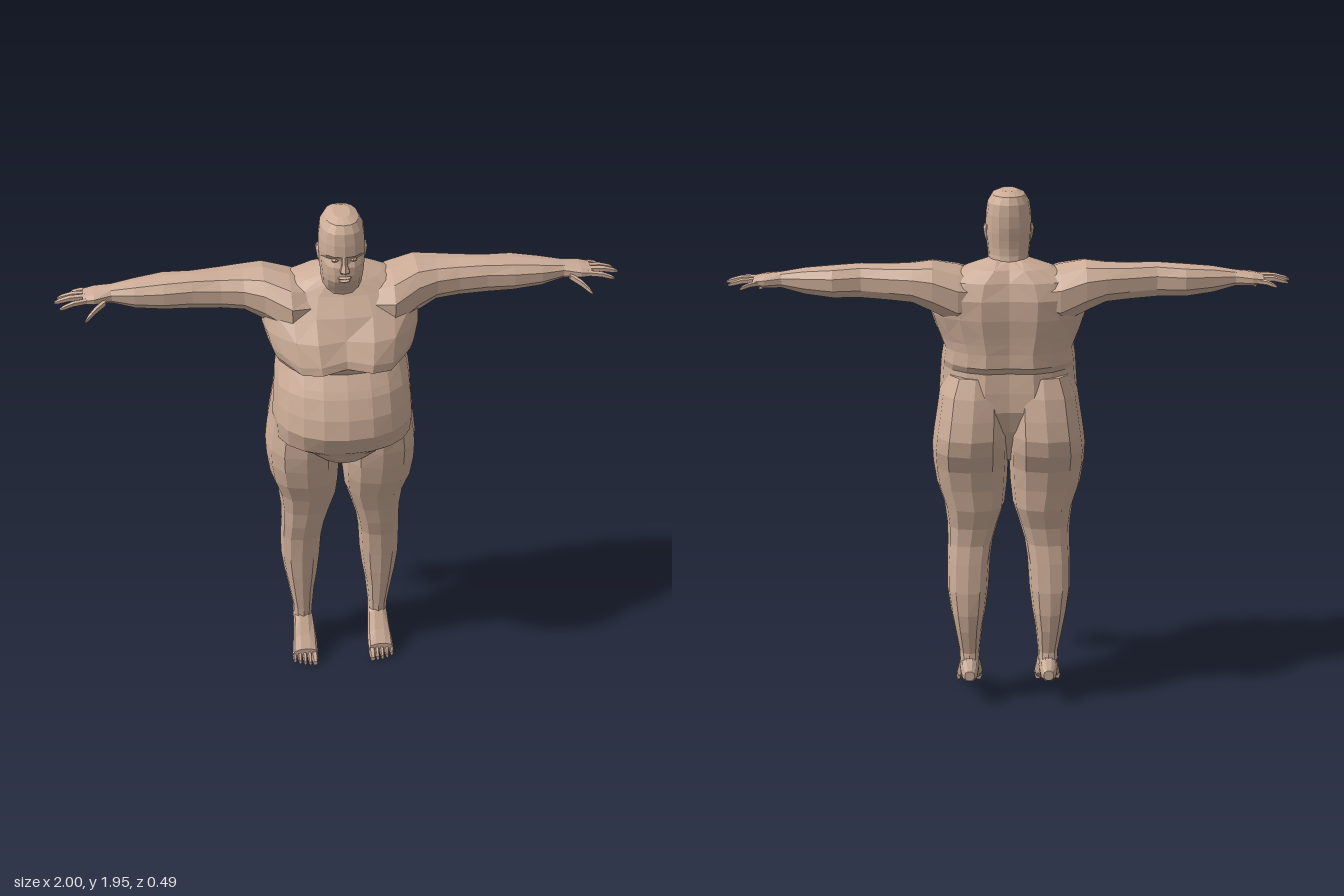
import * as THREE from 'three';

const skin = new THREE.MeshStandardMaterial({ color: 0xcdad98 });
skin.name = 'skin';

// Signed power, squares off an ellipse when e < 1
const pw = (v, e) => Math.sign(v) * Math.pow(Math.abs(v), e);

// Maps (along, u, v) to a point; each is right-handed so faces look outward
const AXES = {
  x: (t, u, v) => new THREE.Vector3(t, u, v),
  y: (t, u, v) => new THREE.Vector3(v, t, u),
  z: (t, u, v) => new THREE.Vector3(u, v, t),
};

// Skin over cross-sections [along, uMin, uMax, vMin, vMax], faceted, capped at both ends
function loft(name, axis, rings, { n = 10, e = 0.85, side = 1, tweak } = {}) {
  const pts = rings.map(([t, u0, u1, v0, v1]) => Array.from({ length: n }, (_, j) => {
    const a = (j / n) * Math.PI * 2;
    const p = AXES[axis](t, (u0 + u1) / 2 + pw(Math.cos(a), e) * (u1 - u0) / 2,
      (v0 + v1) / 2 + pw(Math.sin(a), e) * (v1 - v0) / 2);
    if (tweak) tweak(p, a);
    p.x *= side;
    return p;
  }));
  const pos = [];
  const tri = (a, b, c) => (side > 0 ? [a, b, c] : [a, c, b]).forEach((p) => pos.push(p.x, p.y, p.z));
  const mid = (r) => r.reduce((s, p) => s.add(p), new THREE.Vector3()).divideScalar(n);
  const last = pts.length - 1;
  const m0 = mid(pts[0]), m1 = mid(pts[last]);
  for (let j = 0; j < n; j++) {
    const k = (j + 1) % n;
    for (let i = 0; i < last; i++) {
      const a = pts[i][j], b = pts[i][k], c = pts[i + 1][k], d = pts[i + 1][j];
      if ((i + j) % 2) { tri(a, b, c); tri(a, c, d); } else { tri(a, b, d); tri(b, c, d); }
    }
    tri(m0, pts[0][k], pts[0][j]);
    tri(m1, pts[last][j], pts[last][k]);
  }
  const g = new THREE.BufferGeometry();
  g.setAttribute('position', new THREE.Float32BufferAttribute(pos, 3));
  g.computeVertexNormals();
  const mesh = new THREE.Mesh(g, skin);
  mesh.name = name;
  return mesh;
}

// Torso: y, back z, front z, -half width, half width
function torso() {
  const rings = [
    [0.96, -0.08, 0.06, 0.03], [1.0, -0.12, 0.125, 0.10], [1.05, -0.16, 0.155, 0.18],
    [1.1, -0.19, 0.212, 0.25], [1.18, -0.215, 0.245, 0.255], [1.25, -0.21, 0.23, 0.25],
    [1.32, -0.20, 0.20, 0.245], [1.345, -0.22, 0.185, 0.243], [1.395, -0.218, 0.15, 0.235],
    [1.43, -0.22, 0.185, 0.25], [1.46, -0.222, 0.18, 0.262], [1.52, -0.227, 0.145, 0.28],
    [1.59, -0.225, 0.095, 0.285], [1.65, -0.205, 0.045, 0.25], [1.69, -0.175, 0.02, 0.15],
    [1.715, -0.13, 0.0, 0.07],
  ].map(([y, b, f, w]) => [y, b, f, -w, w]);
  return loft('torso', 'y', rings, {
    n: 20, e: 0.9,
    tweak: (p) => {
      const ax = Math.abs(p.x);
      if (p.z < -0.1 && ax < 0.03) p.z += 0.018;                                  // spine groove
      if (p.z > 0 && p.y > 1.41 && p.y < 1.54) {
        if (ax < 0.03) p.z -= 0.015;                                              // breastbone
        else if (ax < 0.2) { p.z += 0.014; if (p.y < 1.47) p.y -= ax * 0.12; }    // pectorals
      }
    },
  });
}

// Head and neck, with eye sockets pressed in
function head() {
  const g = new THREE.Group();
  g.name = 'head';
  const rings = [
    [1.6, -0.15, 0.02, 0.08], [1.67, -0.135, 0.045, 0.073], [1.705, -0.122, 0.072, 0.072],
    [1.73, -0.116, 0.088, 0.074], [1.755, -0.115, 0.09, 0.077], [1.785, -0.117, 0.088, 0.08],
    [1.81, -0.12, 0.086, 0.081], [1.83, -0.122, 0.094, 0.081], [1.87, -0.122, 0.09, 0.08],
    [1.91, -0.118, 0.082, 0.074], [1.937, -0.105, 0.065, 0.058], [1.95, -0.07, 0.03, 0.03],
  ].map(([y, b, f, w]) => [y, b, f, -w, w]);
  g.add(loft('skull', 'y', rings, {
    n: 16,
    tweak: (p) => {
      if (Math.abs(p.y - 1.81) < 0.005 && p.z > 0.04 && Math.abs(p.x) > 0.02) p.z -= 0.012;
    },
  }));
  g.add(loft('nose', 'y', [
    [1.768, 0.07, 0.1, -0.017, 0.017], [1.778, 0.07, 0.115, -0.018, 0.018],
    [1.8, 0.07, 0.104, -0.011, 0.011], [1.83, 0.07, 0.094, -0.009, 0.009],
  ], { n: 6 }));
  for (const [name, y, w] of [['upperLip', 1.748, 0.026], ['lowerLip', 1.737, 0.022]]) {
    g.add(loft(name, 'y', [
      [y - 0.006, 0.06, 0.09, -w, w], [y, 0.06, 0.099, -w, w], [y + 0.005, 0.06, 0.091, -w, w],
    ], { n: 8 }));
  }
  for (const side of [1, -1]) {
    g.add(loft('ear', 'y', [
      [1.765, -0.025, -0.01, 0.07, 0.08], [1.785, -0.035, -0.005, 0.07, 0.086],
      [1.815, -0.042, -0.004, 0.07, 0.091], [1.828, -0.036, -0.012, 0.07, 0.087],
    ], { n: 6, side }));
    g.add(loft('eye', 'y', [
      [1.803, 0.05, 0.075, 0.02, 0.042], [1.81, 0.05, 0.081, 0.017, 0.045],
      [1.817, 0.05, 0.076, 0.02, 0.042],
    ], { n: 6, side }));
  }
  return g;
}

// Arm with palm, fingers and thumb; sections run outward along x
function arm(side) {
  const g = new THREE.Group();
  g.name = side > 0 ? 'leftArm' : 'rightArm';
  g.add(loft('armAndPalm', 'x', [
    [0.09, 1.52, 1.66, -0.19, 0.06], [0.18, 1.48, 1.692, -0.208, 0.085],
    [0.27, 1.53, 1.713, -0.203, 0.03], [0.34, 1.565, 1.706, -0.19, 0.0],
    [0.42, 1.572, 1.703, -0.172, -0.014], [0.52, 1.577, 1.703, -0.15, -0.02],
    [0.62, 1.58, 1.697, -0.163, -0.018], [0.72, 1.592, 1.687, -0.14, -0.026],
    [0.8, 1.615, 1.673, -0.122, -0.042], [0.86, 1.617, 1.665, -0.134, -0.026],
    [0.9, 1.625, 1.655, -0.13, -0.028],
  ], { side }));
  // Digits: name, start x y z, end x y z, radius
  const digits = [
    ['indexFinger', 0.885, 1.642, -0.038, 0.98, 1.625, -0.02, 0.011],
    ['middleFinger', 0.89, 1.645, -0.065, 1.0, 1.63, -0.06, 0.012],
    ['ringFinger', 0.885, 1.643, -0.092, 0.99, 1.627, -0.098, 0.011],
    ['littleFinger', 0.87, 1.638, -0.118, 0.945, 1.622, -0.142, 0.01],
    ['thumb', 0.82, 1.632, -0.045, 0.895, 1.588, 0.012, 0.014],
  ];
  for (const [name, x0, y0, z0, x1, y1, z1, r] of digits) {
    const rings = [[0, 1], [0.5, 1], [0.85, 0.8], [1, 0.35]].map(([k, s]) => {
      const y = y0 + (y1 - y0) * k + 0.006 * Math.sin(k * Math.PI), z = z0 + (z1 - z0) * k, q = r * s;
      return [x0 + (x1 - x0) * k, y - q, y + q, z - q, z + q];
    });
    g.add(loft(name, 'x', rings, { n: 6, side }));
  }
  return g;
}

// Leg with buttock, foot and toes; leg sections run upward
function leg(side) {
  const g = new THREE.Group();
  g.name = side > 0 ? 'leftLeg' : 'rightLeg';
  g.add(loft('legAndButtock', 'y', [
    [0.11, -0.145, -0.02, 0.115, 0.185], [0.2, -0.125, -0.02, 0.11, 0.188],
    [0.3, -0.152, -0.01, 0.1, 0.205], [0.37, -0.163, -0.003, 0.088, 0.218],
    [0.46, -0.162, 0.002, 0.077, 0.23], [0.57, -0.148, 0.012, 0.07, 0.23],
    [0.64, -0.137, 0.03, 0.06, 0.227], [0.71, -0.142, 0.042, 0.04, 0.228],
    [0.79, -0.168, 0.065, 0.015, 0.238], [0.87, -0.177, 0.092, 0.006, 0.265],
    [0.95, -0.195, 0.108, 0.002, 0.277], [1.02, -0.23, 0.118, 0.0, 0.28],
    [1.08, -0.243, 0.12, 0.0, 0.273], [1.15, -0.232, 0.12, 0.0, 0.262],
    [1.23, -0.212, 0.11, 0.0, 0.25], [1.3, -0.185, 0.08, 0.02, 0.22],
  ], { n: 12, e: 0.8, side }));
  // Foot, pointing down toward the toes
  g.add(loft('foot', 'z', [
    [-0.162, 0.1, 0.14, 0.105, 0.145].map((v, i) => (i === 1 ? 0.13 : i === 2 ? 0.168 : v)),
    [-0.135, 0.117, 0.182, 0.088, 0.18], [-0.08, 0.112, 0.187, 0.07, 0.21],
    [-0.025, 0.106, 0.19, 0.047, 0.175], [0.02, 0.101, 0.197, 0.025, 0.105],
    [0.055, 0.101, 0.201, 0.01, 0.06],
  ], { side }));
  for (let i = 0; i < 5; i++) {
    const x = 0.115 + i * 0.0195, r = i ? 0.009 : 0.013, end = 0.088 - i * i * 0.0015;
    g.add(loft('toe' + (i + 1), 'z', [
      [0.04, x - r, x + r, 0.012, 0.05], [(0.05 + end) / 2, x - r, x + r, 0.004, 0.038],
      [end, x - r * 0.7, x + r * 0.7, 0, 0.02],
    ], { n: 6, side }));
  }
  return g;
}

export function createModel() {
  const model = new THREE.Group();
  model.name = 'heavyStandingMan';
  model.add(torso(), head());
  for (const side of [1, -1]) model.add(arm(side), leg(side));
  return model;
}
